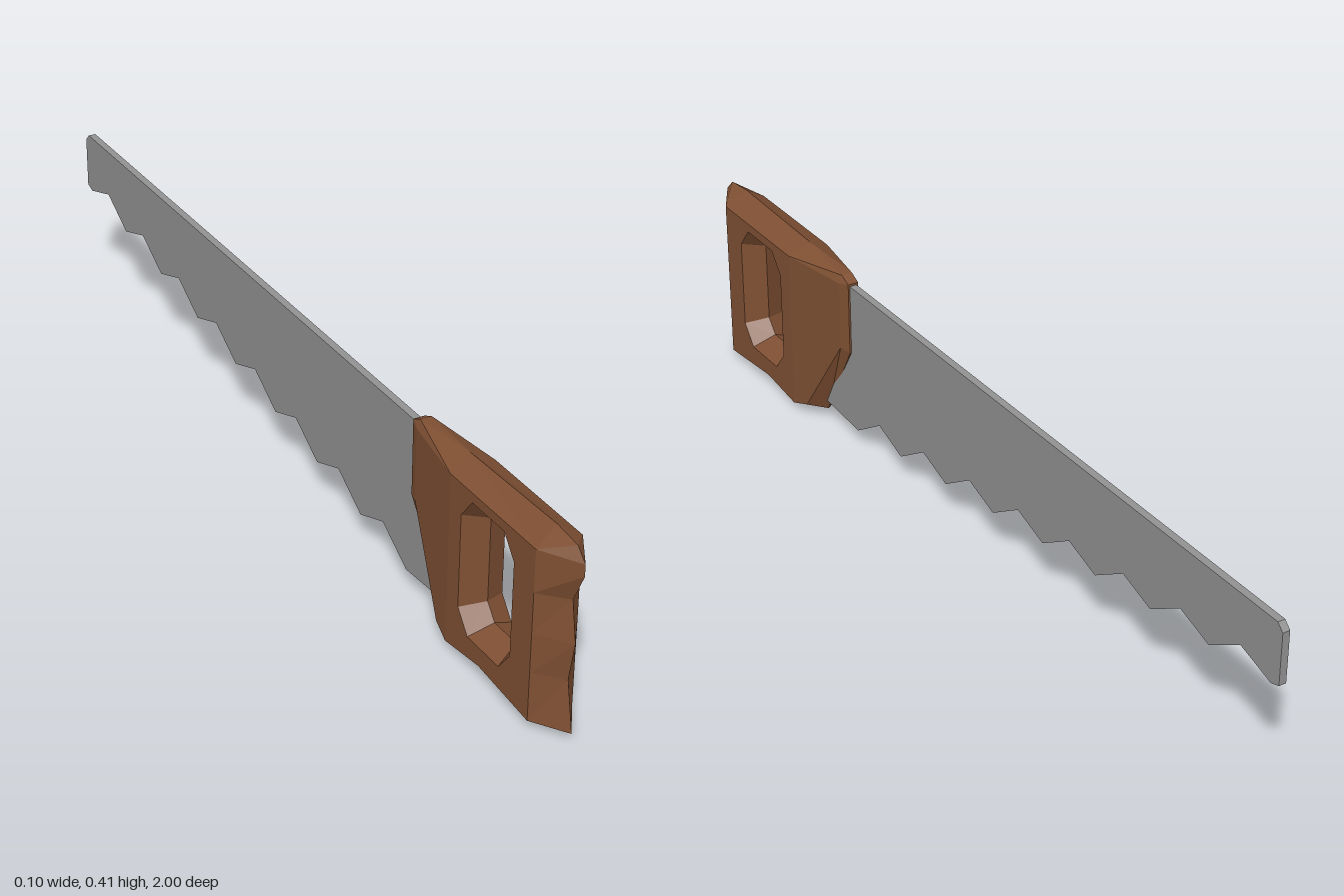
import * as THREE from 'three';

const wood = new THREE.MeshStandardMaterial({ name: 'brownWood', color: 0x7f5033 });
const steel = new THREE.MeshStandardMaterial({ name: 'greySteel', color: 0x929292 });

// Half thickness of the handle's side faces: flat grip, tapering towards the blade
const halfWidth = (z) => (z >= 0.64 ? 0.048 : 0.02 + ((z - 0.475) / 0.165) * 0.028);

// Eight-cornered loop with cut corners, running top front -> rear -> bottom
function cutRect(z0, z1, y0, y1, c, d) {
  return [[z0 + c, y1], [z1 - c, y1], [z1, y1 - d], [z1, y0 + d],
    [z1 - c, y0], [z0 + c, y0], [z0, y0 + d], [z0, y1 - d]];
}

function buildHandle() {
  // Pairs: outer ridge (z, y, half width), side face edge (z, y)
  const pairs = [
    [0.45, 0.385, 0.012, 0.475, 0.38], [0.475, 0.397, 0.012, 0.475, 0.38],
    [0.63, 0.405, 0, 0.64, 0.38], [0.91, 0.412, 0, 0.92, 0.38],
    [0.975, 0.405, 0, 0.92, 0.38], [1, 0.38, 0, 0.92, 0.38],
    [1, 0.355, 0, 0.92, 0.355], [0.97, 0.29, 0, 0.92, 0.29],
    [0.985, 0.205, 0, 0.92, 0.205], [0.97, 0.12, 0, 0.92, 0.12],
    [0.99, 0.015, 0, 0.92, 0.015], [0.92, 0, 0, 0.92, 0.015],
    [0.755, 0.016, 0, 0.755, 0.03], [0.63, 0, 0, 0.64, 0.015],
    [0.57, 0.02, 0, 0.595, 0.03], [0.45, 0.22, 0.012, 0.475, 0.225],
  ];
  const ridge = pairs.map(([z, y, w]) => new THREE.Vector3(w, y, z));
  const side = pairs.map((p) => new THREE.Vector3(halfWidth(p[3]), p[4], p[3]));
  const rim = cutRect(0.68, 0.855, 0.07, 0.36, 0.035, 0.045)
    .map(([z, y]) => new THREE.Vector3(0.048, y, z));
  const hole = cutRect(0.705, 0.83, 0.095, 0.34, 0.026, 0.032)
    .map(([z, y]) => new THREE.Vector3(0, y, z));

  const pos = [];
  const flip = (v) => new THREE.Vector3(-v.x, v.y, v.z);
  const tri = (a, b, c) => {
    const area = b.clone().sub(a).cross(c.clone().sub(a)).length();
    if (area > 1e-9) for (const v of [a, b, c]) pos.push(v.x, v.y, v.z);
  };
  const mirroredTri = (a, b, c) => {
    tri(a, b, c);
    tri(flip(a), flip(c), flip(b));
  };
  const strip = (outer, inner) => outer.forEach((o, i) => {
    const j = (i + 1) % outer.length;
    mirroredTri(o, outer[j], inner[j]);
    mirroredTri(o, inner[j], inner[i]);
  });

  // Bevels around the outside and into the finger hole
  strip(ridge, side);
  strip(rim, hole);

  // Narrow front edge where the ridge has width
  ridge.forEach((a, i) => {
    const b = ridge[(i + 1) % ridge.length];
    tri(a, flip(b), b);
    tri(a, flip(a), flip(b));
  });

  // Side faces: flat grip with the hole, then the taper
  const face = (loop, holes) => {
    const pts = loop.filter((v, i) => i === 0 || v.distanceTo(loop[i - 1]) > 1e-6);
    const all = [...pts, ...holes.flat()];
    const to2 = (v) => new THREE.Vector2(v.z, v.y);
    const faces = THREE.ShapeUtils.triangulateShape(pts.map(to2), holes.map((h) => h.map(to2)));
    for (const [i, j, k] of faces) {
      const [a, b, c] = [all[i], all[j], all[k]];
      const outward = b.clone().sub(a).cross(c.clone().sub(a)).x > 0;
      if (outward) mirroredTri(a, b, c);
      else mirroredTri(a, c, b);
    }
  };
  face(side.slice(2, 14), [rim]);
  face([side[2], side[13], side[14], side[15], side[0]], []);

  const geo = new THREE.BufferGeometry();
  geo.setAttribute('position', new THREE.Float32BufferAttribute(pos, 3));
  geo.computeVertexNormals();
  const mesh = new THREE.Mesh(geo, wood);
  mesh.name = 'handle';
  return mesh;
}

function buildBlade() {
  // Outline in (z, y): straight back, clipped tip, nine rising teeth
  const shape = new THREE.Shape();
  shape.moveTo(0.6, 0.055);
  shape.lineTo(0.5, 0.38);
  shape.lineTo(-0.985, 0.38);
  shape.lineTo(-1, 0.365);
  shape.lineTo(-1, 0.252);
  for (let i = 8; i >= 0; i--) {
    shape.lineTo(0.43 - 0.176 * i, 0.037 + 0.026 * i);
    if (i > 0) shape.lineTo(0.34 - 0.1757 * (i - 1), 0.095 + 0.0254 * (i - 1));
  }
  shape.lineTo(0.575, 0.047);
  shape.closePath();
  const geo = new THREE.ExtrudeGeometry(shape, { depth: 0.016, bevelEnabled: false });
  geo.translate(0, 0, -0.008);
  geo.rotateY(-Math.PI / 2);
  const mesh = new THREE.Mesh(geo, steel);
  mesh.name = 'blade';
  return mesh;
}

export function createModel() {
  const group = new THREE.Group();
  group.name = 'handSaw';
  group.add(buildHandle(), buildBlade());
  return group;
}
